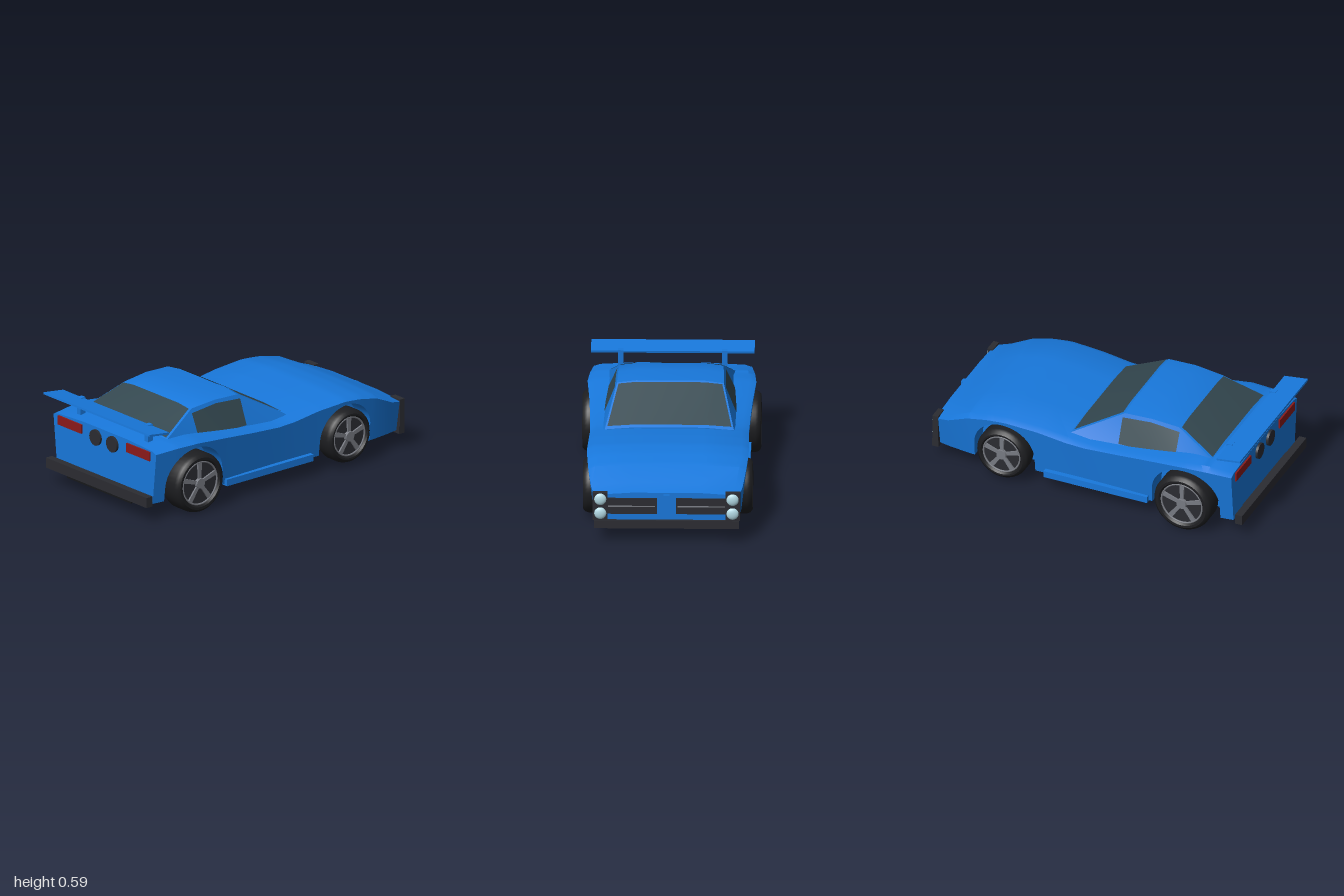
import * as THREE from 'three';
import { toCreasedNormals } from 'three/addons/utils/BufferGeometryUtils.js';

const paint = (color) => new THREE.MeshStandardMaterial({ color, side: THREE.DoubleSide });
const BLUE = paint(0x1878dc), DARK = paint(0x2b2c32), TYRE = paint(0x1d1e21), GLASS = paint(0x33474f);
const METAL = paint(0x777a82), LAMP = paint(0xb4dbe6), RED = paint(0x8c1a1a), BLACK = paint(0x17181b);

function add(parent, name, geometry, material, x = 0, y = 0, z = 0) {
  const mesh = new THREE.Mesh(geometry, material);
  mesh.name = name;
  mesh.position.set(x, y, z);
  parent.add(mesh);
  return mesh;
}

// Box given by its extents along each axis
function box(parent, name, material, [x0, x1], [y0, y1], [z0, z1]) {
  return add(parent, name, new THREE.BoxGeometry(x1 - x0, y1 - y0, z1 - z0), material,
    (x0 + x1) / 2, (y0 + y1) / 2, (z0 + z1) / 2);
}

// Skin over cross-sections running from -z over the top to +z
function loft(sections, capped, crease = 0.4) {
  const pos = [];
  const tri = (...pts) => pts.forEach((p) => pos.push(...p));
  for (let i = 0; i + 1 < sections.length; i++) {
    const s = sections[i], t = sections[i + 1];
    for (let j = 0; j + 1 < s.length; j++) {
      tri(s[j], s[j + 1], t[j + 1]);
      tri(s[j], t[j + 1], t[j]);
    }
  }
  if (capped) {
    [sections[0], sections[sections.length - 1]].forEach((s, end) => {
      const mid = [s[0][0], (s[0][1] + s[s.length >> 1][1]) / 2, 0];
      s.forEach((p, j) => {
        const q = s[(j + 1) % s.length];
        if (end) tri(mid, p, q); else tri(mid, q, p);
      });
    });
  }
  const g = new THREE.BufferGeometry();
  g.setAttribute('position', new THREE.Float32BufferAttribute(pos, 3));
  return toCreasedNormals(g, crease);
}

// Half section as [z, y] from the outside to the middle, mirrored across z
const mirrored = (x, half) => [
  ...half.map(([z, y]) => [x, y, -z]),
  ...half.slice().reverse().map(([z, y]) => [x, y, z]),
];

// Linear interpolation in a table whose first column is x
function at(table, x) {
  let i = 0;
  while (i < table.length - 2 && table[i + 1][0] < x) i++;
  const a = table[i], b = table[i + 1];
  const t = THREE.MathUtils.clamp((x - a[0]) / (b[0] - a[0]), 0, 1);
  return a.map((v, k) => v + (b[k] - v) * t);
}

// x, half width, shoulder height, deck height
const BODY = [
  [-0.935, 0.46, 0.41, 0.435], [-0.78, 0.48, 0.42, 0.452], [-0.64, 0.49, 0.42, 0.447],
  [-0.4, 0.475, 0.395, 0.42], [-0.2, 0.467, 0.375, 0.4], [0, 0.462, 0.36, 0.387],
  [0.12, 0.462, 0.365, 0.396], [0.3, 0.465, 0.39, 0.42], [0.5, 0.47, 0.402, 0.432],
  [0.62, 0.467, 0.39, 0.42], [0.75, 0.458, 0.36, 0.39], [0.88, 0.44, 0.3, 0.325], [0.97, 0.42, 0.278, 0.294],
];
// x, roof edge half width, roof height
const CABIN = [
  [-0.785, 0.37, 0.45], [-0.53, 0.3, 0.572], [-0.36, 0.308, 0.588], [-0.19, 0.31, 0.582], [0.125, 0.375, 0.402],
];
const WHEELS = [
  { name: 'rear', x: -0.64, y: 0.18, r: 0.18, arch: 0.215, z0: 0.36, z1: 0.518 },
  { name: 'front', x: 0.52, y: 0.187, r: 0.162, arch: 0.193, z0: 0.36, z1: 0.492 },
];

function bodyShell() {
  const stations = BODY.map(([x]) => ({ x, yb: 0.1 }))
    .filter(({ x }) => WHEELS.every((w) => Math.abs(x - w.x) > w.arch));
  // Lower edge follows each wheel arch
  for (const w of WHEELS) {
    for (const s of [-1, 1]) stations.push({ x: w.x + s * (w.arch + 0.001), yb: 0.1 });
    for (let k = 0; k <= 20; k++) {
      const a = Math.PI * k / 20;
      stations.push({ x: w.x - w.arch * Math.cos(a), yb: w.y + w.arch * Math.sin(a) });
    }
  }
  stations.sort((a, b) => a.x - b.x);
  return loft(stations.map(({ x, yb }) => {
    const [, w, ys, yd] = at(BODY, x);
    const zb = w * (0.93 + 0.07 * (yb - 0.1) / (ys - 0.1));
    return mirrored(x, [[0.32, yb], [zb, yb], [w, ys], [w - 0.04, yd - 0.012], [0.2, yd]]);
  }), true);
}

// Glass over the sloping faces of the cabin, between two x positions
const slopeGlass = (xa, xb) => loft([xa, xb].map((x) => {
  const [, w, y] = at(CABIN, x);
  return mirrored(x, [[w - 0.012, y - 0.007], [0.2, y + 0.004]]);
}), false);

function sideGlass(side) {
  return loft([-0.54, -0.36, -0.18].map((x) => {
    const [, w, y] = at(CABIN, x);
    const point = (py) => {
      const t = (py - 0.37) / (y - 0.014 - 0.37);
      return [x, py, side * (0.388 + (w - 0.388) * t + 0.004)];
    };
    const pts = [point(y - 0.032), point(0.395)];
    return side > 0 ? pts : pts.reverse();
  }), false);
}

function wheel({ r, z0, z1 }) {
  const g = new THREE.Group();
  const h = (z1 - z0) / 2, rim = r * 0.74, c = 0.022;
  const profile = [[rim, -h + 0.012], [rim + 0.01, -h], [r - c, -h], [r - 0.006, -h + c * 0.6], [r, -h + c * 1.4],
    [r, h - c * 1.4], [r - 0.006, h - c * 0.6], [r - c, h], [rim + 0.01, h], [rim, h - 0.012], [rim, -h + 0.012]]
    .map(([a, b]) => new THREE.Vector2(a, b));
  add(g, 'tyre', toCreasedNormals(new THREE.LatheGeometry(profile, 40), 0.6), TYRE).rotation.x = Math.PI / 2;
  add(g, 'rimDisc', new THREE.CylinderGeometry(rim, rim, h * 2 - 0.045, 40), DARK).rotation.x = Math.PI / 2;
  add(g, 'rimRing', new THREE.TorusGeometry(rim - 0.004, 0.006, 6, 40), METAL, 0, 0, h - 0.014);
  add(g, 'hub', new THREE.CylinderGeometry(0.03, 0.034, 0.03, 20), METAL, 0, 0, h - 0.018).rotation.x = Math.PI / 2;
  // Five tapered spokes
  const spoke = new THREE.Shape([[-0.01, 0.02], [0.01, 0.02], [0.015, rim], [-0.015, rim]]
    .map(([x, y]) => new THREE.Vector2(x, y)));
  const spokeGeo = new THREE.ExtrudeGeometry(spoke, { depth: 0.015, bevelEnabled: false });
  for (let k = 0; k < 5; k++) add(g, 'spoke', spokeGeo, METAL, 0, 0, h - 0.027).rotation.z = k * Math.PI * 0.4;
  return g;
}

export function createModel() {
  const car = new THREE.Group();
  car.name = 'sportsCar';

  // Body and underside
  add(car, 'bodyShell', bodyShell(), BLUE);
  box(car, 'innerBody', BLUE, [-0.92, 0.95], [0.09, 0.28], [-0.32, 0.32]);
  box(car, 'wheelWellWall', BLUE, [-0.87, 0.72], [0.2, 0.375], [-0.32, 0.32]);
  box(car, 'floorPlate', BLACK, [-0.98, 0.89], [0.073, 0.092], [-0.285, 0.285]);
  box(car, 'sideSkirts', BLUE, [-0.4, 0.26], [0.092, 0.133], [-0.465, 0.465]);

  // Cabin and windows
  add(car, 'cabin', loft(CABIN.map(([x, w, y]) =>
    mirrored(x, [[0.388, 0.37], [w, y - 0.014], [0.2, y]])), true), BLUE);
  add(car, 'windshield', slopeGlass(-0.175, 0.11), GLASS);
  add(car, 'rearWindow', slopeGlass(-0.77, -0.545), GLASS);
  add(car, 'leftWindow', sideGlass(1), GLASS);
  add(car, 'rightWindow', sideGlass(-1), GLASS);

  // Wheels
  for (const w of WHEELS) {
    for (const side of [1, -1]) {
      const g = wheel(w);
      g.name = w.name + 'Wheel';
      g.position.set(w.x, w.y, side * (w.z0 + w.z1) / 2);
      if (side < 0) g.rotation.y = Math.PI;
      car.add(g);
    }
  }

  // Bumpers and nose bar
  box(car, 'frontBumper', DARK, [0.95, 0.992], [0.082, 0.13], [-0.42, 0.42]);
  box(car, 'rearBumper', DARK, [-1, -0.955], [0.095, 0.157], [-0.45, 0.45]);
  box(car, 'bumperMount', DARK, [-0.96, -0.92], [0.1, 0.13], [-0.3, 0.3]);
  box(car, 'noseBar', BLUE, [0.96, 0.99], [0.142, 0.285], [-0.017, 0.017]);

  for (const side of [-1, 1]) {
    const span = (a, b) => (side > 0 ? [a, b] : [-b, -a]);
    // Grille and headlights
    box(car, 'grille', DARK, [0.96, 0.98], [0.167, 0.262], span(0.055, 0.35));
    box(car, 'grilleSlat', METAL, [0.97, 0.984], [0.211, 0.217], span(0.065, 0.34));
    box(car, 'headlightHousing', DARK, [0.95, 0.985], [0.13, 0.297], span(0.343, 0.428));
    for (const y of [0.172, 0.257]) {
      const lamp = add(car, 'headlight', new THREE.SphereGeometry(0.036, 24, 12), LAMP, 0.983, y, side * 0.384);
      lamp.scale.x = 0.45;
    }
    // Tail lights
    box(car, 'tailLight', RED, [-0.945, -0.925], [0.36, 0.415], span(0.2, 0.41));
    add(car, 'roundTailLight', new THREE.CylinderGeometry(0.048, 0.048, 0.025, 28), DARK, -0.937, 0.372, side * 0.075)
      .rotation.z = Math.PI / 2;
    // Spoiler supports
    box(car, 'spoilerSupport', BLUE, [-0.877, -0.84], [0.43, 0.54], span(0.285, 0.318));
  }

  // Spoiler blade
  add(car, 'spoilerBlade', new THREE.BoxGeometry(0.151, 0.012, 0.95), BLUE, -0.924, 0.538, 0).rotation.z = -0.13;
  return car;
}
